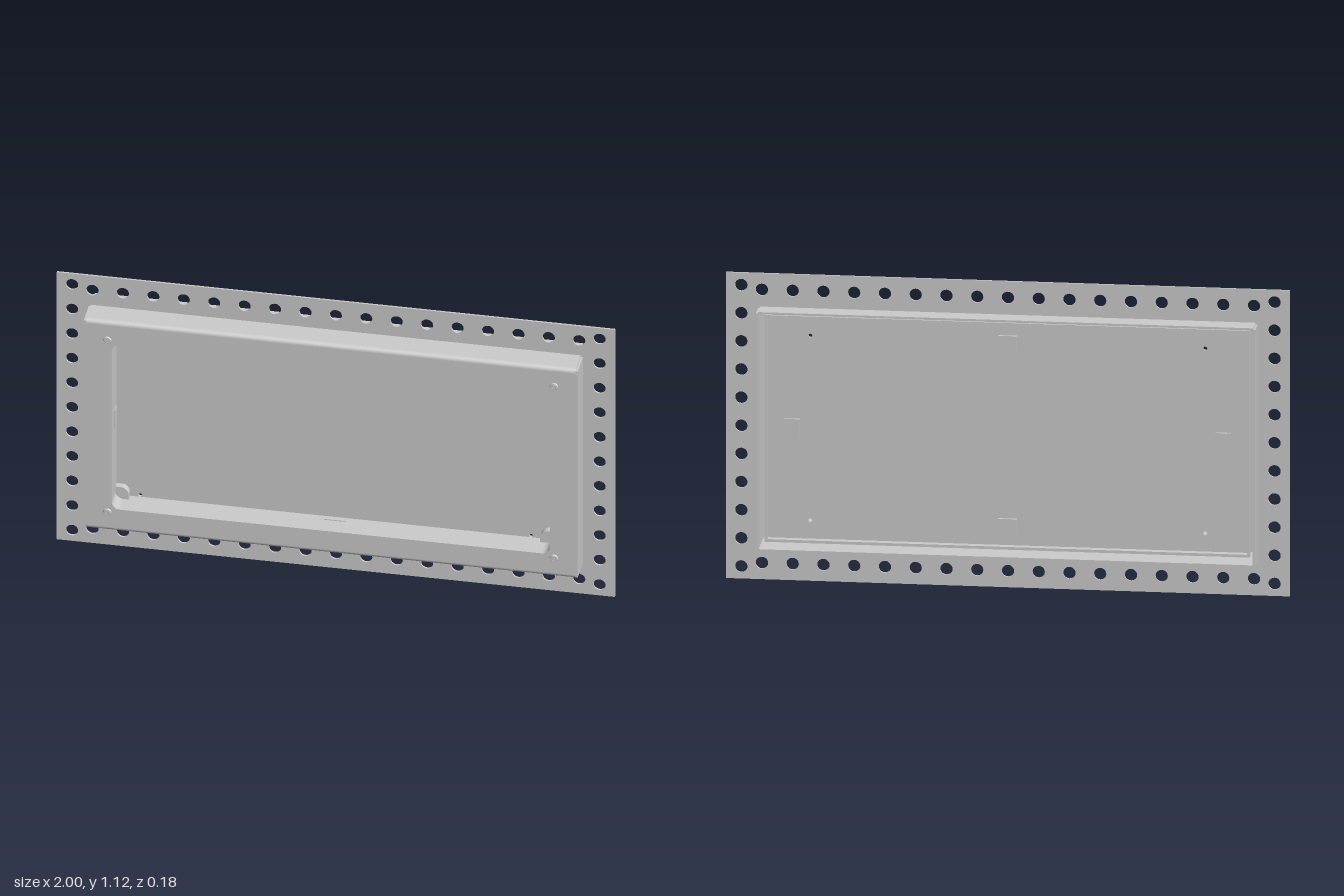
import * as THREE from 'three';

const CY = 0.56; // height of the bezel centre
const mat = new THREE.MeshStandardMaterial({ color: 0xcccccc, side: THREE.DoubleSide });

// Rectangle outline centred on the origin, with optional corner radius
function rect(w, h, r = 0, Type = THREE.Shape) {
  const p = new Type(), x = w / 2, y = h / 2;
  p.moveTo(-x + r, -y);
  p.lineTo(x - r, -y);
  if (r) p.absarc(x - r, -y + r, r, -Math.PI / 2, 0);
  p.lineTo(x, y - r);
  if (r) p.absarc(x - r, y - r, r, 0, Math.PI / 2);
  p.lineTo(-x + r, y);
  if (r) p.absarc(-x + r, y - r, r, Math.PI / 2, Math.PI);
  p.lineTo(-x, -y + r);
  if (r) p.absarc(-x + r, -y + r, r, Math.PI, Math.PI * 1.5);
  return p;
}

function circle(x, y, r) {
  const p = new THREE.Path();
  p.absarc(x, y, r, 0, Math.PI * 2, true);
  return p;
}

export function createModel() {
  const g = new THREE.Group();

  function add(name, geometry, x = 0, y = 0, z = 0) {
    const m = new THREE.Mesh(geometry, mat);
    m.name = name;
    m.position.set(x, y, z);
    g.add(m);
    return m;
  }
  // Plate lying in the xy plane between two depths
  function plate(name, shape, z0, z1, x = 0, y = CY) {
    const geo = new THREE.ExtrudeGeometry(shape, { depth: z1 - z0, bevelEnabled: false, curveSegments: 10 });
    return add(name, geo, x, y, z0);
  }
  function box(name, w, h, d, x, y, z) {
    return add(name, new THREE.BoxGeometry(w, h, d), x, y, z);
  }

  // Perforated mounting flange
  const flange = rect(2, 1.12);
  flange.holes.push(rect(1.76, 0.866, 0, THREE.Path));
  for (const s of [-1, 1]) {
    for (let i = -8; i <= 8; i++) flange.holes.push(circle(i * 0.109, s * 0.5, 0.022));
    for (let i = -5; i <= 5; i++) flange.holes.push(circle(s * 0.945, i * 0.103, 0.022));
  }
  plate('mountingFlange', flange, -0.018, -0.011);

  // Side walls of the housing
  for (const s of [-1, 1]) box('sideWall', 0.01, 0.864, 0.175, s * 0.88, CY, -0.0025);

  // Top and bottom walls with a rounded front edge
  const r = 0.016, t = 0.008;
  const rail = new THREE.Shape();
  rail.moveTo(-0.09, 0.438);
  rail.lineTo(0.086 - r, 0.438);
  rail.absarc(0.086 - r, 0.438 - r, r, Math.PI / 2, 0, true);
  rail.lineTo(0.086, 0.42);
  rail.lineTo(0.086 - t, 0.42);
  rail.lineTo(0.086 - t, 0.438 - t);
  rail.lineTo(-0.09, 0.438 - t);
  for (const s of [-1, 1]) {
    const geo = new THREE.ExtrudeGeometry(rail, { depth: 1.756, bevelEnabled: false, curveSegments: 6 });
    geo.translate(0, 0, -0.878);
    geo.rotateY(-Math.PI / 2); // depth profile now faces +z on its front
    geo.rotateY(0);
    const m = add(s > 0 ? 'topWall' : 'bottomWall', geo, 0, CY, 0);
    // The profile's first axis must end up along +z
    if (s < 0) {
      m.geometry.rotateZ(Math.PI);
    }
  }

  // Front face ring around the screen opening
  const face = rect(1.766, 0.842);
  face.holes.push(rect(1.57, 0.69, 0.03, THREE.Path));
  plate('frontFace', face, 0.078, 0.086);

  // Walls of the recess
  const recess = rect(1.58, 0.7, 0.035);
  recess.holes.push(rect(1.57, 0.69, 0.03, THREE.Path));
  plate('recessWall', recess, -0.012, 0.08);

  // Recessed panel with small corner holes
  const panel = rect(1.71, 0.82);
  for (const x of [-0.7, 0.7]) for (const y of [-0.338, 0.338]) panel.holes.push(circle(x, y, 0.007));
  plate('recessedPanel', panel, -0.02, -0.01);

  // Rear rim of the panel
  const rim = rect(1.72, 0.83);
  rim.holes.push(rect(1.7, 0.81, 0, THREE.Path));
  plate('rearPanelRim', rim, -0.045, -0.012);

  // Latches: slot plate on the recess wall and a small housing behind the panel
  for (const s of [-1, 1]) {
    box('sideLatchSlot', 0.004, 0.07, 0.035, s * 0.784, CY, 0.02);
    box('sideLatchHousing', 0.055, 0.065, 0.01, s * 0.764, CY, -0.024);
    box('endLatchSlot', 0.075, 0.004, 0.02, 0, CY + s * 0.344, 0.005);
    box('endLatchHousing', 0.065, 0.055, 0.01, 0, CY + s * 0.335, -0.024);
  }

  // Leaf-shaped pads in the recess corners, and the four face screws
  const leaf = new THREE.Shape();
  leaf.moveTo(0, -0.048);
  leaf.lineTo(0, -0.03);
  leaf.absarc(-0.03, -0.03, 0.03, 0, Math.PI / 2);
  leaf.lineTo(-0.048, 0);
  leaf.lineTo(-0.048, -0.018);
  leaf.absarc(-0.018, -0.018, 0.03, Math.PI, Math.PI * 1.5);
  for (const sx of [-1, 1]) {
    for (const sy of [-1, 1]) {
      const pad = plate('cornerPad', leaf, -0.01, 0.015, sx * 0.785, CY + sy * 0.345);
      pad.scale.set(sx, sy, 1);
      const washer = add('screwHead', new THREE.CylinderGeometry(0.013, 0.016, 0.006, 20), sx * 0.8, CY + sy * 0.36, 0.088);
      washer.rotation.x = Math.PI / 2;
      const socket = add('screwSocket', new THREE.TorusGeometry(0.008, 0.002, 6, 16), sx * 0.8, CY + sy * 0.36, 0.09);
      socket.name = 'screwSocket';
    }
  }
  return g;
}
